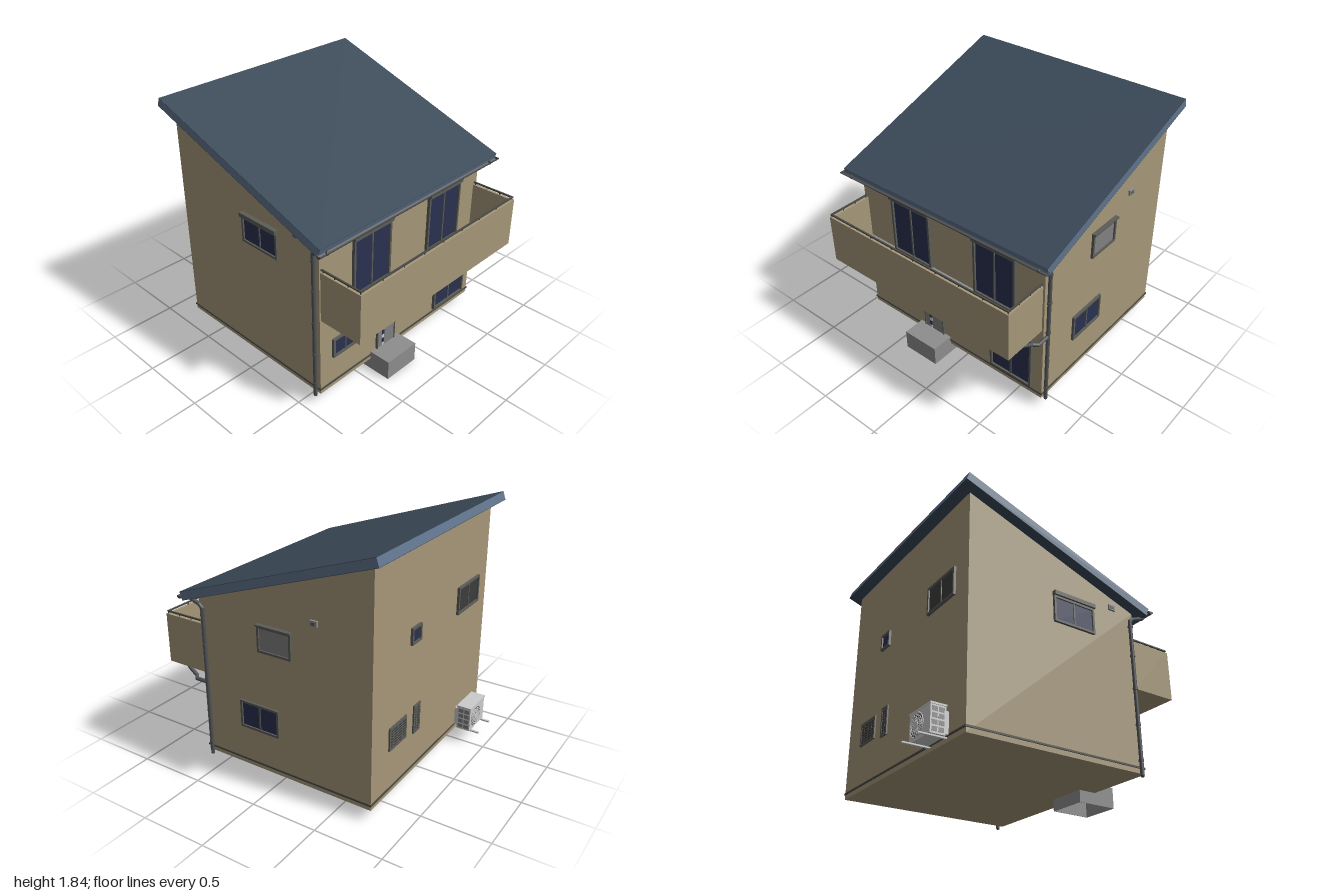
import * as THREE from 'three';

const paint = (color, side = THREE.FrontSide) => new THREE.MeshStandardMaterial({ color, side });
const M = {
  wall: paint(0xa69779), trim: paint(0x4a4a46), roofTop: paint(0x3b4958), fascia: paint(0x5f748c),
  frame: paint(0x5c5d58), glass: paint(0x2a3050), darkPane: paint(0x3c3d3c), shutter: paint(0x818181),
  pipe: paint(0x505356), gutter: paint(0x505356, THREE.DoubleSide), stone: paint(0x8e8e8e),
  grey: paint(0xcccccc), dark: paint(0x2e2f30),
};
// House body limits
const X0 = -0.9, X1 = 0.73, Z0 = -0.755, Z1 = 0.615, Y0 = 0.085;
const SLOPE = 0.3414, eaveY = z => 1.256 + (0.69 - z) * SLOPE;

function mesh(parent, name, geo, mat, x = 0, y = 0, z = 0) {
  const m = new THREE.Mesh(geo, mat);
  m.name = name;
  m.position.set(x, y, z);
  parent.add(m);
  return m;
}
// Box given by its limits on each axis
function box(parent, name, mat, x0, x1, y0, y1, z0, z1) {
  return mesh(parent, name, new THREE.BoxGeometry(x1 - x0, y1 - y0, z1 - z0), mat,
    (x0 + x1) / 2, (y0 + y1) / 2, (z0 + z1) / 2);
}
function group(parent, name) {
  const g = new THREE.Group();
  g.name = name;
  parent.add(g);
  return g;
}
// Side profile of [z, y] points swept along x
function sweep(parent, name, mat, pts, x0, x1) {
  const shape = new THREE.Shape(pts.map(p => new THREE.Vector2(...p)));
  const geo = new THREE.ExtrudeGeometry(shape, { depth: x1 - x0, bevelEnabled: false });
  geo.rotateY(-Math.PI / 2).translate(x1, 0, 0);
  return mesh(parent, name, geo, mat);
}
// Local frame on a wall: +z points outward, origin at wall position u and height y
function onWall(parent, name, face, u, y) {
  const g = group(parent, name);
  if (face === 'front') g.position.set(u, y, Z1);
  if (face === 'back') { g.position.set(u, y, Z0); g.rotation.y = Math.PI; }
  if (face === 'plusX') { g.position.set(X1, y, u); g.rotation.y = Math.PI / 2; }
  if (face === 'minusX') { g.position.set(X0, y, u); g.rotation.y = -Math.PI / 2; }
  return g;
}
// Round pipe along straight runs with rounded elbows
function pipe(parent, name, pts, r) {
  const g = group(parent, name);
  const v = pts.map(p => new THREE.Vector3(...p));
  for (let i = 0; i < v.length - 1; i++) {
    mesh(g, 'pipeRun', new THREE.TubeGeometry(new THREE.LineCurve3(v[i], v[i + 1]), 1, r, 10), M.pipe);
    mesh(g, 'pipeElbow', new THREE.SphereGeometry(r, 10, 8), M.pipe, ...pts[i + 1]);
  }
  return g;
}
// Framed window; options: panes, boxH (shutter box on top), pane material, depth
function windowUnit(parent, name, face, u0, u1, y0, y1, { panes = 2, boxH = 0, pane = M.glass, d = 0.018 } = {}) {
  const w = u1 - u0, h = y1 - y0 - boxH, f = 0.016;
  const g = onWall(parent, name, face, (u0 + u1) / 2, y0);
  box(g, 'pane', pane, -w / 2 + f, w / 2 - f, f, h - f, 0, 0.007);
  for (const s of [-1, 1]) box(g, 'frameSide', M.frame, s * w / 2 - (s > 0 ? f : 0), s * w / 2 + (s < 0 ? f : 0), 0, h, 0, d);
  box(g, 'frameBottom', M.frame, -w / 2 + f, w / 2 - f, 0, f, 0, d);
  box(g, 'frameTop', M.frame, -w / 2 + f, w / 2 - f, h - f, h, 0, d);
  for (let i = 1; i < panes; i++) {
    const x = -w / 2 + w * i / panes;
    box(g, 'mullion', M.frame, x - 0.006, x + 0.006, f, h - f, 0, d * 0.7);
  }
  if (boxH) box(g, 'shutterBox', M.frame, -w / 2 - 0.004, w / 2 + 0.004, h, h + boxH, 0, d + 0.014);
  return g;
}
// Slatted vent panel with upright dividers
function louvre(parent, face, u0, u1, y0, y1, dividers) {
  const w = u1 - u0, h = y1 - y0;
  const g = windowUnit(parent, 'louvre', face, u0, u1, y0, y1, { panes: dividers + 1, pane: M.dark, d: 0.011 });
  for (let y = 0.025; y < h - 0.02; y += 0.02) box(g, 'slat', M.frame, -w / 2 + 0.012, w / 2 - 0.012, y, y + 0.008, 0, 0.01);
}

function buildShell(root) {
  sweep(root, 'walls', M.wall, [[Z0, Y0], [Z1, Y0], [Z1, eaveY(Z1)], [Z0, eaveY(Z0)]], X0, X1);
  box(root, 'baseTrim', M.trim, X0 - 0.006, X1 + 0.006, 0.118, 0.131, Z0 - 0.006, Z1 + 0.006);
  // Roof in layers, offset along the slope normal
  const layer = (name, mat, t0, t1) => {
    const at = (z, t) => [z + 0.323 * t, eaveY(z) + 0.946 * t];
    sweep(root, name, mat, [at(-0.83, t0), at(0.69, t0), at(0.69, t1), at(-0.83, t1)], -0.98, 0.81);
  };
  layer('roofUnderside', M.roofTop, 0, 0.003);
  layer('roofFascia', M.fascia, 0.003, 0.061);
  layer('roofCovering', M.roofTop, 0.061, 0.064);
}

function buildDrainage(root) {
  // Half-round gutter along the eave
  const g = group(root, 'gutter');
  const len = 1.815, cx = -0.0925, y = 1.287, z = 0.713, r = 0.02;
  mesh(g, 'gutterTrough', new THREE.CylinderGeometry(r, r, len, 14, 1, true, Math.PI, Math.PI).rotateZ(Math.PI / 2), M.gutter, cx, y, z);
  for (const s of [-1, 1])
    mesh(g, 'gutterEnd', new THREE.CircleGeometry(r, 14, Math.PI, Math.PI).rotateY(Math.PI / 2), M.gutter, cx + s * len / 2, y, z);
  // Downpipes with wall clips
  for (const x of [X0 - 0.015, X1 + 0.012]) {
    const p = pipe(root, 'downpipe', [[x, 1.28, 0.715], [x, 1.263, 0.7], [x, 1.228, 0.605], [x, 1.205, 0.58], [x, 0.07, 0.58]], 0.014);
    for (const cy of [1.16, 0.93, 0.68, 0.42, 0.17])
      mesh(p, 'pipeClip', new THREE.CylinderGeometry(0.018, 0.018, 0.014, 10), M.pipe, x, cy, 0.58);
  }
  pipe(root, 'balconyDrain', [[0.695, 0.71, 0.8], [0.695, 0.685, 0.785], [0.71, 0.65, 0.71], [0.742, 0.645, 0.68], [0.742, 0.645, 0.58]], 0.014);
}

function buildBalcony(root) {
  const g = group(root, 'balcony');
  const x0 = -0.89, x1 = 0.715, y0 = 0.7, y1 = 1.07, zf = 0.955, t = 0.022;
  box(g, 'balconyFront', M.wall, x0, x1, y0, y1, zf - t, zf);
  box(g, 'balconySide', M.wall, x0, x0 + t, y0, y1, Z1, zf - t);
  box(g, 'balconySide', M.wall, x1 - t, x1, y0, y1, Z1, zf - t);
  box(g, 'balconyUnderside', M.wall, x0 + t, x1 - t, y0, 0.73, Z1, zf - t);
  box(g, 'balconyFloor', M.stone, x0 + t, x1 - t, 0.73, 0.74, Z1, zf - t);
  // Handrail on short posts
  const c = t / 2, a = 0.006;
  box(g, 'railFront', M.trim, x0 + c - a, x1 - c + a, 1.083, 1.093, zf - c - a, zf - c + a);
  for (const x of [x0 + c, x1 - c]) {
    box(g, 'railSide', M.trim, x - a, x + a, 1.083, 1.093, Z1, zf - c);
    for (const z of [0.63, 0.73, 0.84]) box(g, 'railPost', M.trim, x - 0.003, x + 0.003, y1, 1.085, z - 0.003, z + 0.003);
  }
  for (let i = 0; i <= 8; i++) {
    const x = x0 + c + (x1 - x0 - t) * i / 8;
    box(g, 'railPost', M.trim, x - 0.003, x + 0.003, y1, 1.085, zf - c - 0.003, zf - c + 0.003);
  }
}

function buildOpenings(root) {
  const tall = { boxH: 0.03, d: 0.022 };
  windowUnit(root, 'balconyWindow', 'front', -0.605, -0.245, 0.74, 1.21, tall);
  windowUnit(root, 'balconyWindow', 'front', 0.15, 0.505, 0.74, 1.21, tall);
  windowUnit(root, 'gardenWindow', 'front', 0.288, 0.648, 0.15, 0.625, tall);
  windowUnit(root, 'smallFrontWindow', 'front', -0.79, -0.552, 0.34, 0.49);
  windowUnit(root, 'lowerSideWindow', 'plusX', -0.037, 0.287, 0.39, 0.596);
  windowUnit(root, 'shutteredWindow', 'plusX', -0.157, 0.115, 1.0, 1.2, { panes: 1, pane: M.shutter, boxH: 0.012 });
  windowUnit(root, 'upperSideWindow', 'minusX', -0.096, 0.246, 1.0, 1.225, { boxH: 0.03 });
  windowUnit(root, 'smallBackWindow', 'back', 0.14, 0.268, 1.08, 1.2, { panes: 1 });
  windowUnit(root, 'largeBackWindow', 'back', -0.75, -0.41, 1.055, 1.26, { pane: M.darkPane });
  louvre(root, 'back', 0.295, 0.52, 0.42, 0.59, 3);
  louvre(root, 'back', 0.105, 0.195, 0.39, 0.605, 1);
  // Wall vents under the roof
  for (const [face, u, y] of [['plusX', -0.333, 1.303], ['minusX', 0.42, 1.265]]) {
    const v = onWall(root, 'wallVent', face, u, y);
    box(v, 'ventHood', M.stone, -0.027, 0.027, -0.02, 0.02, 0, 0.015);
    box(v, 'ventSlot', M.frame, -0.015, 0.015, -0.012, 0.01, 0.014, 0.018);
  }
}

function buildEntrance(root) {
  const d = onWall(root, 'frontDoor', 'front', -0.258, 0.15);
  box(d, 'doorLeaf', M.shutter, -0.088, 0.088, 0, 0.385, 0, 0.012);
  for (const s of [-1, 1]) box(d, 'doorJamb', M.frame, s * 0.09 - 0.004, s * 0.09 + 0.004, 0, 0.385, 0, 0.018);
  box(d, 'doorHead', M.frame, -0.094, 0.094, 0.383, 0.395, 0, 0.02);
  box(d, 'doorStrip', M.grey, -0.042, -0.022, 0.005, 0.378, 0, 0.015);
  for (let i = 0; i < 5; i++) box(d, 'doorLight', M.glass, -0.042, -0.022, 0.03 + i * 0.072, 0.068 + i * 0.072, 0, 0.017);
  box(d, 'doorHandle', M.dark, -0.07, -0.063, 0.16, 0.245, 0.02, 0.027);
  for (const y of [0.165, 0.235]) box(d, 'handleMount', M.dark, -0.069, -0.064, y, y + 0.005, 0.01, 0.022);
  // Lamp and bell beside the door
  const l = onWall(root, 'porchLamp', 'front', -0.392, 0.6);
  mesh(l, 'lampBase', new THREE.CylinderGeometry(0.025, 0.025, 0.012, 20).rotateX(Math.PI / 2), M.frame, 0, 0, 0.006);
  mesh(l, 'lampGlobe', new THREE.SphereGeometry(0.019, 16, 12), M.grey, 0, 0, 0.015);
  const b = onWall(root, 'doorbell', 'front', -0.39, 0.4);
  box(b, 'bellPlate', M.dark, -0.016, 0.016, 0.015, 0.025, 0, 0.01);
  box(b, 'bellButton', M.dark, -0.008, 0.008, -0.02, 0, 0, 0.01);
  // Hollow doorstep, open underneath
  const s = group(root, 'doorstep'), t = 0.004, x0 = -0.405, x1 = -0.112;
  box(s, 'stepTop', M.stone, x0, x1, 0.15 - t, 0.15, 0.48, 0.785);
  box(s, 'stepFront', M.stone, x0, x1, 0, 0.15 - t, 0.785 - t, 0.785);
  box(s, 'stepBack', M.stone, x0, x1, 0, 0.15 - t, 0.48, 0.48 + t);
  box(s, 'stepSide', M.stone, x0, x0 + t, 0, 0.15 - t, 0.48 + t, 0.785 - t);
  box(s, 'stepSide', M.stone, x1 - t, x1, 0, 0.15 - t, 0.48 + t, 0.785 - t);
}

function buildOutdoorUnit(root) {
  // Local +z faces away from the back wall
  const g = onWall(root, 'outdoorUnit', 'back', -0.603, 0.1);
  const w = 0.125, z0 = 0.03, z1 = 0.135;
  box(g, 'casing', M.grey, -w, w, 0.01, 0.197, z0, z1);
  box(g, 'casingLid', M.grey, -w - 0.005, w + 0.005, 0.19, 0.203, z0 - 0.004, z1 + 0.004);
  box(g, 'rearCoil', M.grey, -w + 0.01, w - 0.01, 0.025, 0.17, 0.004, z0);
  for (const x of [-0.095, 0.1]) box(g, 'foot', M.grey, x - 0.009, x + 0.009, 0, 0.01, 0.01, 0.2);
  // Fan with ring guard and spokes
  const f = group(g, 'fan');
  f.position.set(-0.03, 0.102, z1);
  mesh(f, 'fanWell', new THREE.CircleGeometry(0.076, 28), M.dark, 0, 0, 0.001);
  for (const r of [0.078, 0.06, 0.042]) mesh(f, 'guardRing', new THREE.TorusGeometry(r, 0.0035, 6, 28), M.grey, 0, 0, 0.005);
  for (let i = 0; i < 8; i++) mesh(f, 'guardSpoke', new THREE.BoxGeometry(0.156, 0.004, 0.004), M.grey, 0, 0, 0.005).rotation.z = i * Math.PI / 8;
  mesh(f, 'fanHub', new THREE.CylinderGeometry(0.022, 0.022, 0.01, 18).rotateX(Math.PI / 2), M.grey, 0, 0, 0.005);
  // Side grilles
  for (const s of [-1, 1]) for (let i = 0; i < 2; i++) for (let j = 0; j < 4; j++)
    mesh(g, 'sideGrille', new THREE.BoxGeometry(0.003, 0.03, 0.038), M.shutter, s * w, 0.038 + j * 0.042, 0.06 + i * 0.046);
}

export function createModel() {
  const root = new THREE.Group();
  root.name = 'house';
  for (const build of [buildShell, buildDrainage, buildBalcony, buildOpenings, buildEntrance, buildOutdoorUnit]) build(root);
  return root;
}
